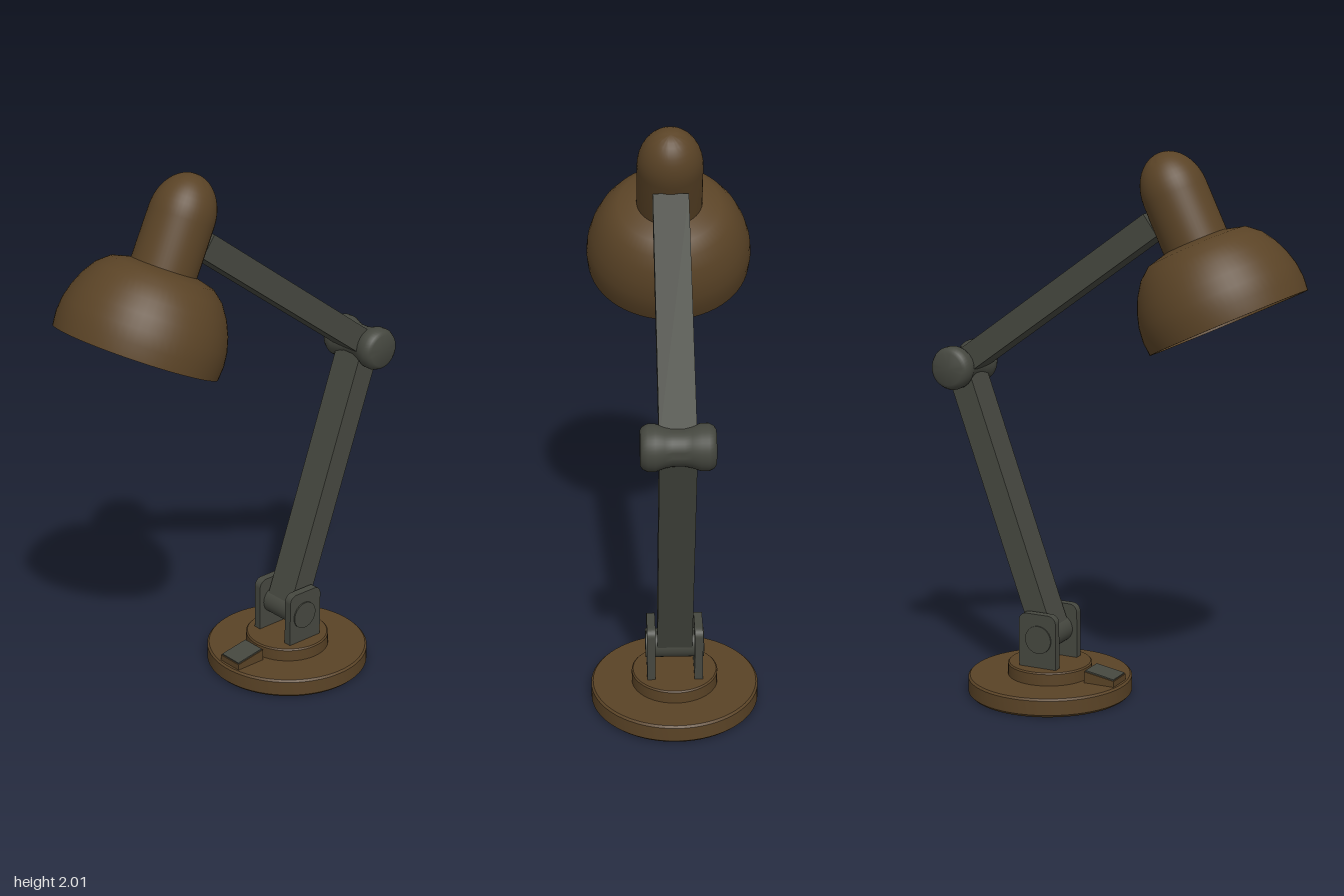
import * as THREE from 'three';
import { toCreasedNormals } from 'three/addons/utils/BufferGeometryUtils.js';

const brown = new THREE.MeshStandardMaterial({ color: 0x5a4326 });
brown.name = 'brown enamel';
const grey = new THREE.MeshStandardMaterial({ color: 0x45473f });
grey.name = 'dark grey metal';

const BASE_X = 0.27;
const PIVOT = new THREE.Vector2(0.265, 0.225);
const ELBOW = new THREE.Vector2(0.613, 1.2);
const ARM_END = new THREE.Vector2(-0.16, 1.757);

function part(name, geometry, material, x = 0, y = 0, z = 0) {
  const mesh = new THREE.Mesh(geometry, material);
  mesh.name = name;
  mesh.position.set(x, y, z);
  return mesh;
}

// Turned solid: smooth around, crisp at sharp profile corners
function turned(profile, segments = 48, crease = 0.6) {
  const points = profile.map(([r, y]) => new THREE.Vector2(r, y));
  return toCreasedNormals(new THREE.LatheGeometry(points, segments), crease);
}

// Square-section bar between two points in the x-y plane
function arm(name, from, to) {
  const d = to.clone().sub(from);
  const bar = part(name, new THREE.BoxGeometry(0.09, d.length(), 0.125), grey,
    (from.x + to.x) / 2, (from.y + to.y) / 2);
  bar.rotation.z = Math.atan2(d.y, d.x) - Math.PI / 2;
  return bar;
}

function createBase() {
  const base = new THREE.Group();
  base.name = 'base';
  base.position.x = BASE_X;
  base.add(part('baseDisc', turned([
    [0, 0], [0.292, 0], [0.302, 0.01], [0.302, 0.063], [0.295, 0.07], [0, 0.07],
  ], 64), brown));
  base.add(part('baseStep', turned([
    [0.155, 0.065], [0.155, 0.113], [0.15, 0.118], [0, 0.118],
  ]), brown));

  // Wedge switch with a thin cap on its sloping top
  const wedge = new THREE.Shape();
  wedge.moveTo(-0.285, 0.068);
  wedge.lineTo(-0.165, 0.068);
  wedge.lineTo(-0.165, 0.112);
  wedge.lineTo(-0.285, 0.092);
  const housing = new THREE.ExtrudeGeometry(wedge, { depth: 0.1, bevelEnabled: false });
  base.add(part('switchHousing', housing, brown, 0, 0, -0.05));
  const cap = part('switchCap', new THREE.BoxGeometry(0.115, 0.006, 0.092), grey, -0.225, 0.104, 0);
  cap.rotation.z = Math.atan2(0.02, 0.12);
  base.add(cap);
  return base;
}

function createBracket() {
  const bracket = new THREE.Group();
  bracket.name = 'bracket';
  const w = 0.075, bottom = 0.11, top = 0.32, r = 0.03;
  const outline = new THREE.Shape();
  outline.moveTo(-w, bottom);
  outline.lineTo(w, bottom);
  outline.lineTo(w, top - r);
  outline.absarc(w - r, top - r, r, 0, Math.PI / 2);
  outline.absarc(-w + r, top - r, r, Math.PI / 2, Math.PI);
  const plate = new THREE.ExtrudeGeometry(outline, { depth: 0.03, bevelEnabled: false });
  for (const side of [-1, 1]) {
    bracket.add(part('bracketPlate', plate, grey, BASE_X, 0, side * 0.085 - 0.015));
  }
  // Axle through both plates
  const axle = new THREE.CylinderGeometry(0.052, 0.052, 0.21, 32);
  axle.rotateX(Math.PI / 2);
  bracket.add(part('axle', axle, grey, PIVOT.x, PIVOT.y));
  return bracket;
}

function createElbow() {
  // Waisted spool with domed ends
  const geometry = turned([
    [0, -0.125], [0.058, -0.125], [0.07, -0.118], [0.079, -0.1], [0.079, -0.075],
    [0.068, -0.045], [0.063, -0.02], [0.063, 0.02], [0.068, 0.045],
    [0.079, 0.075], [0.079, 0.1], [0.07, 0.118], [0.058, 0.125], [0, 0.125],
  ], 40);
  geometry.rotateX(Math.PI / 2);
  return part('elbow', geometry, grey, ELBOW.x, ELBOW.y);
}

function createHead() {
  const head = new THREE.Group();
  head.name = 'head';
  head.position.set(-0.43, 1.428, 0);
  head.rotation.z = -0.44;
  // Hollow shade: inner wall down to the rim, then outer wall up
  head.add(part('shade', turned([
    [0, 0.28], [0.11, 0.28], [0.168, 0.262], [0.21, 0.228], [0.24, 0.185], [0.262, 0.14],
    [0.275, 0.09], [0.279, 0.045], [0.276, 0], [0.293, 0], [0.297, 0.05], [0.292, 0.1],
    [0.278, 0.15], [0.256, 0.2], [0.224, 0.248], [0.182, 0.283], [0.11, 0.302], [0, 0.302],
  ], 64, 0.7), brown));

  // Lamp socket with a rounded crown
  const socket = [[0.117, 0.28], [0.116, 0.48]];
  for (let i = 1; i <= 10; i++) {
    const a = (i / 10) * Math.PI / 2;
    socket.push([0.116 * Math.cos(a), 0.48 + 0.15 * Math.sin(a)]);
  }
  head.add(part('socket', turned(socket, 48), brown));
  return head;
}

export function createModel() {
  const lamp = new THREE.Group();
  lamp.name = 'deskLamp';
  lamp.add(
    createBase(),
    createBracket(),
    arm('lowerArm', PIVOT, ELBOW),
    createElbow(),
    arm('upperArm', ELBOW, ARM_END),
    createHead(),
  );
  return lamp;
}
